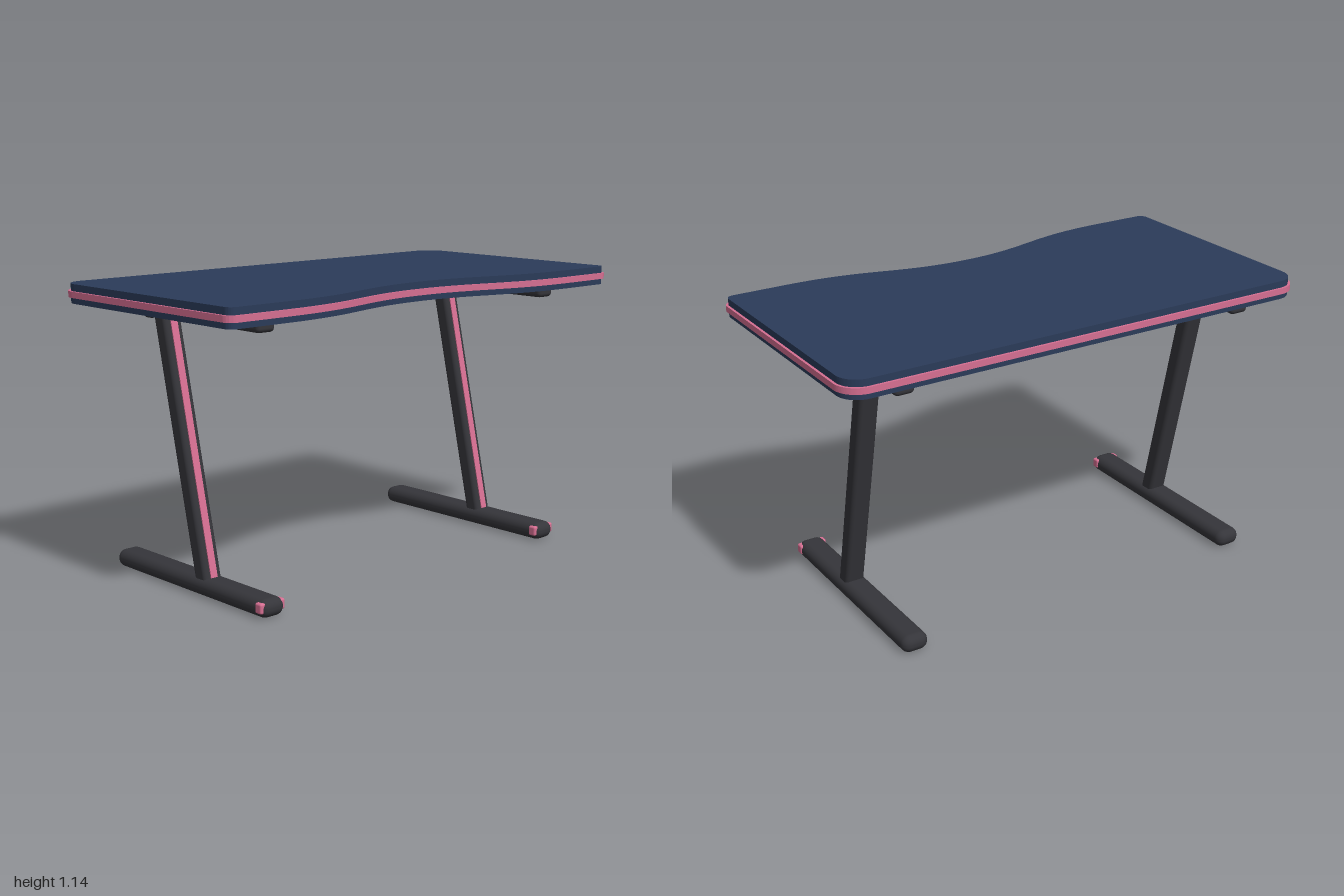
import * as THREE from 'three';
import { toCreasedNormals } from 'three/addons/utils/BufferGeometryUtils.js';
import { RoundedBoxGeometry } from 'three/addons/geometries/RoundedBoxGeometry.js';

function material(name, color) {
  const m = new THREE.MeshStandardMaterial({ color });
  m.name = name;
  return m;
}

// Table outline in plan (shape y becomes z), grown outward by g
function outline(g) {
  const x = 0.99 + g, z = 0.504 + g, back = 0.085 + g, front = 0.03 + g;
  const dip = 0.39 + g, ease = 0.36, start = 0.74;
  const s = new THREE.Shape();
  s.moveTo(-x + back, -z);
  s.lineTo(x - back, -z);
  s.absarc(x - back, -z + back, back, -Math.PI / 2, 0, false);
  s.lineTo(x, z - front);
  s.absarc(x - front, z - front, front, 0, Math.PI / 2, false);
  s.lineTo(start, z);
  s.bezierCurveTo(start - ease, z, ease - 0.05, dip, 0, dip);
  s.bezierCurveTo(-ease + 0.05, dip, -start + ease, z, -start, z);
  s.lineTo(-x + front, z);
  s.absarc(-x + front, z - front, front, Math.PI / 2, Math.PI, false);
  s.lineTo(-x, -z + back);
  s.absarc(-x + back, -z + back, back, Math.PI, Math.PI * 1.5, false);
  return s;
}

// Horizontal slab between two heights
function slab(grow, y0, y1) {
  const geo = new THREE.ExtrudeGeometry(outline(grow), {
    depth: y1 - y0, bevelEnabled: false, curveSegments: 16,
  });
  geo.rotateX(Math.PI / 2);
  geo.translate(0, y1, 0);
  return toCreasedNormals(geo, 0.6);
}

export function createModel() {
  const group = new THREE.Group();
  const navy = material('navy top', 0x2b3b59);
  const pink = material('pink accent', 0xd66f92);
  const charcoal = material('charcoal frame', 0x35353a);

  const add = (parent, name, geo, mat, x, y, z) => {
    const mesh = new THREE.Mesh(geo, mat);
    mesh.name = name;
    mesh.position.set(x, y, z);
    parent.add(mesh);
    return mesh;
  };
  const rounded = (w, h, d, r) => new RoundedBoxGeometry(w, h, d, 4, r);

  // Desktop with a thin accent band around its edge
  add(group, 'desktop', slab(0, 1.068, 1.142), navy, 0, 0, 0);
  add(group, 'edgeTrim', slab(0.01, 1.091, 1.115), pink, 0, 0, 0);

  // Cross beam joining the two sides
  add(group, 'crossBeam', rounded(1.46, 0.062, 0.062, 0.02), charcoal, 0, 1.031, -0.335);

  // Leaning leg: centre line from the foot up to the rail
  const bottom = new THREE.Vector3(0, 0.04, 0.047);
  const top = new THREE.Vector3(0, 1.062, -0.187);
  const length = bottom.distanceTo(top);
  const lean = Math.atan2(top.z - bottom.z, top.y - bottom.y);
  const middle = bottom.clone().add(top).multiplyScalar(0.5);

  for (const side of [-1, 1]) {
    const frame = new THREE.Group();
    frame.name = side > 0 ? 'leftFrame' : 'rightFrame';
    frame.position.x = side * 0.745;
    group.add(frame);

    add(frame, 'foot', rounded(0.107, 0.07, 0.914, 0.033), charcoal, 0, 0.035, -0.028);
    add(frame, 'footAccent', rounded(0.115, 0.04, 0.036, 0.008), pink, 0, 0.04, 0.4);
    add(frame, 'topRail', rounded(0.08, 0.047, 0.855, 0.016), charcoal, 0, 1.0465, -0.028);

    const leg = new THREE.Group();
    leg.name = 'leg';
    leg.position.copy(middle);
    leg.rotation.x = lean;
    frame.add(leg);
    add(leg, 'legPost', rounded(0.08, length, 0.07, 0.018), charcoal, 0, 0, 0);
    add(leg, 'legStripe', new THREE.BoxGeometry(0.03, length - 0.045, 0.008), pink, 0, -0.008, 0.035);
  }
  return group;
}
